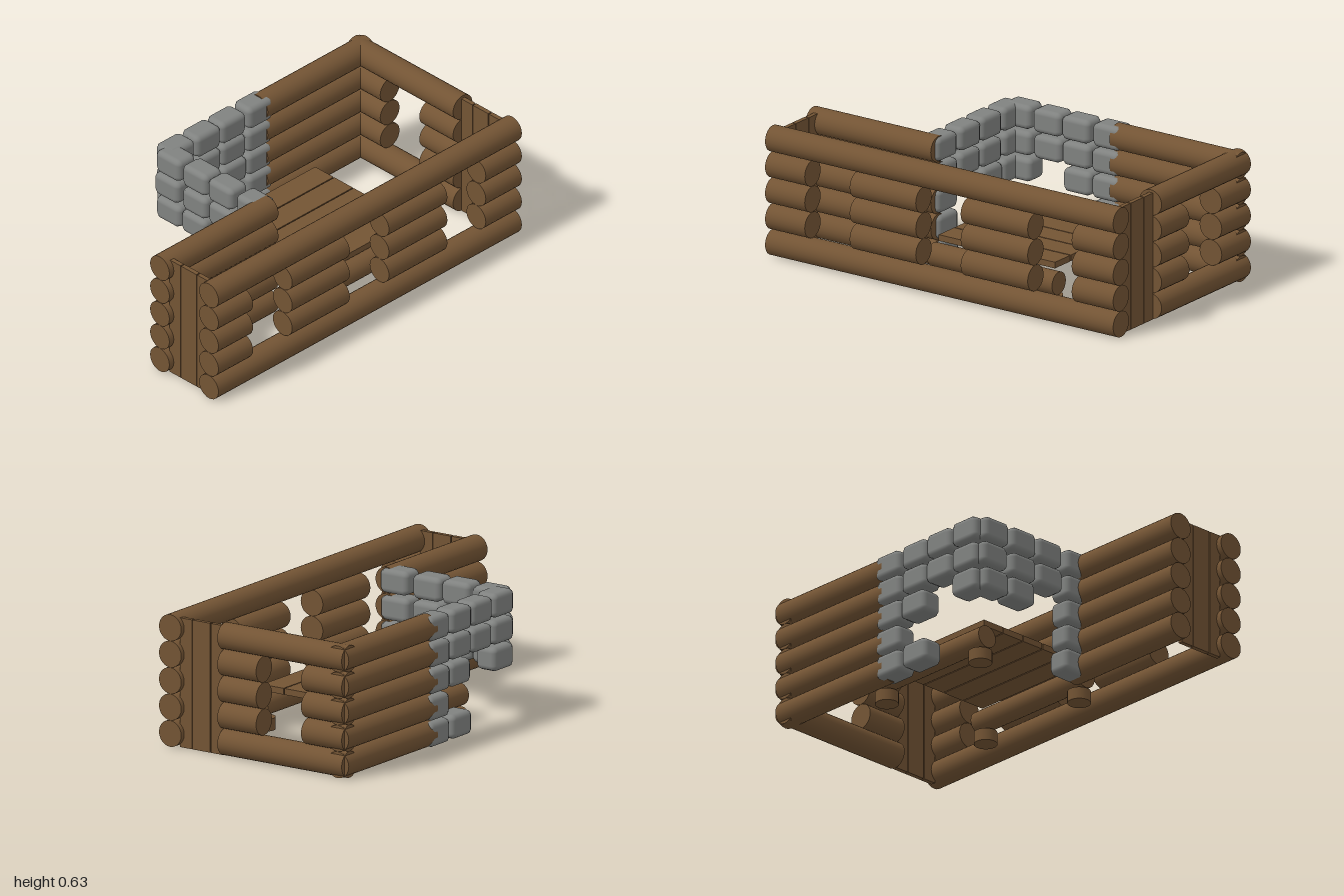
import * as THREE from 'three';
import { RoundedBoxGeometry } from 'three/addons/geometries/RoundedBoxGeometry.js';

export function createModel() {
  const root = new THREE.Group();
  root.name = 'ruinedCabin';
  const wood = new THREE.MeshStandardMaterial({ color: 0x735434 });
  wood.name = 'wood';
  const stone = new THREE.MeshStandardMaterial({ color: 0x808280 });
  stone.name = 'stone';

  const R = 0.063;
  const rowY = (row) => R + row * 0.1263;
  const group = (name) => {
    const g = new THREE.Group();
    g.name = name;
    root.add(g);
    return g;
  };

  // Round log along one axis, from a to b
  function log(parent, name, axis, a, b, u, y, r = R) {
    const m = new THREE.Mesh(new THREE.CylinderGeometry(r, r, b - a, 24), wood);
    m.name = name;
    const mid = (a + b) / 2;
    if (axis === 'x') {
      m.rotation.z = Math.PI / 2;
      m.position.set(mid, y, u);
    } else if (axis === 'z') {
      m.rotation.x = Math.PI / 2;
      m.position.set(u, y, mid);
    }
    parent.add(m);
    return m;
  }

  function board(parent, name, w, h, d, x, y, z) {
    const m = new THREE.Mesh(new THREE.BoxGeometry(w, h, d), wood);
    m.name = name;
    m.position.set(x, y, z);
    parent.add(m);
  }

  // Log wall: full spans in the bottom and top rows, split spans between
  function logWall(name, axis, u, fullSpans, midSpans) {
    const g = group(name);
    for (let row = 0; row < 5; row++) {
      const spans = row === 0 || row === 4 ? fullSpans : midSpans;
      for (const [a, b] of spans) log(g, 'log', axis, a, b, u, rowY(row));
    }
  }

  logWall('leftSideWall', 'z', 0.475,
    [[-0.975, -0.34], [-0.34, 0.37], [0.37, 1]],
    [[-0.975, -0.74], [-0.49, -0.11], [0.145, 0.52], [0.775, 1]]);
  logWall('rightSideWall', 'z', -0.475, [[-0.975, -0.27]], [[-0.975, -0.27]]);
  logWall('backWall', 'x', -0.937, [[-0.515, 0.19]], [[-0.515, -0.285], [-0.03, 0.19]]);
  logWall('passageWall', 'z', 0.155, [[0.29, 1]], [[0.29, 1]]);

  // Upright plank panels at both ends
  for (const [name, z] of [['frontPanel', 0.96], ['backPanel', -0.94]]) {
    const g = group(name);
    for (const [a, b] of [[0.19, 0.261], [0.266, 0.364], [0.369, 0.435]])
      board(g, 'uprightPlank', b - a, 0.617, 0.022, (a + b) / 2, 0.3085, z);
  }

  // Raised floor: planks on two joists with short posts
  const floor = group('floor');
  for (let i = 0; i < 5; i++)
    board(floor, 'floorPlank', 0.12, 0.03, 0.66, (i - 2) * 0.1255 - 0.003, 0.201, -0.15);
  for (const x of [-0.318, 0.312]) {
    log(floor, 'joist', 'z', -0.505, 0.205, x, 0.12, 0.055);
    for (const z of [-0.462, 0.16]) log(floor, 'post', 'y', 0, 0.058, 0, 0, 0.055).position.set(x, 0.029, z);
  }

  // Crumbling stone walls meeting at the front right corner
  let seed = 7;
  const rand = () => {
    seed = (seed * 16807) % 2147483647;
    return seed / 2147483647 - 0.5;
  };
  // Rounded block, slightly pinched towards both ends
  const block = new RoundedBoxGeometry(0.16, 0.116, 0.116, 3, 0.026);
  const p = block.attributes.position;
  for (let i = 0; i < p.count; i++) {
    const k = Math.abs(p.getX(i)) > 0.06 ? 0.95 : 1;
    p.setY(i, p.getY(i) * k);
    p.setZ(i, p.getZ(i) * k);
  }

  function stoneWall(name, rows, place) {
    const g = group(name);
    rows.forEach((list, row) => {
      for (const along of list) {
        const m = new THREE.Mesh(block, stone);
        m.name = 'stoneBlock';
        place(m, along + rand() * 0.012, rowY(row) + rand() * 0.004);
        g.add(m);
      }
    });
  }

  stoneWall('frontStoneWall',
    [[0.1], [0.1], [-0.42, -0.25, 0.1], [-0.43, -0.25, -0.075, 0.1], [-0.42, -0.25, -0.075, 0.1]],
    (m, a, y) => m.position.set(a, y, 0.325));
  stoneWall('sideStoneWall',
    [[-0.24, -0.07], [-0.24], [-0.24, -0.07, 0.265], [-0.24, -0.07, 0.1, 0.265], [-0.24, -0.07, 0.1, 0.265]],
    (m, a, y) => {
      m.rotation.y = Math.PI / 2;
      m.position.set(-0.478, y, a);
    });

  return root;
}
